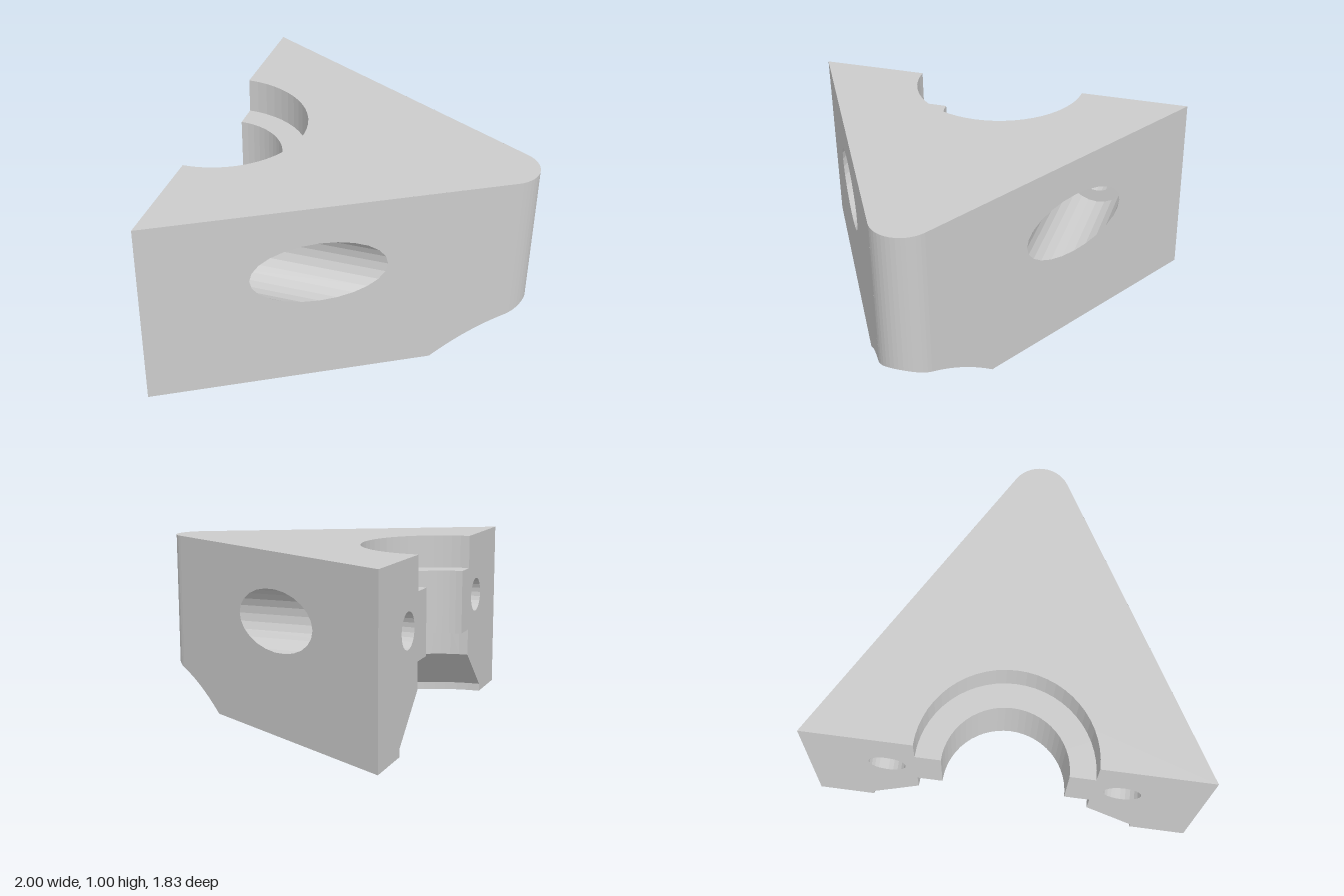
import * as THREE from 'three';

// Local frame: the bored face lies on z = 0, the block's rounded corner points to +z,
// and everything is symmetric about x = 0.
const HALF = 1.057, APEX = 1.83;              // triangular plan
const CORNER_R = 0.16, CORNER_Z = APEX - 2 * CORNER_R;
const HOLE_X = 0.625, HOLE_Y = 0.63, FLOOR_Z = 0.23;
const ARCH_W = 0.333, FLARE_Z = 0.97;         // relief channel
const CONE_TOP = 0.286, RIM_TOP = 0.045, BORE_R = 0.47, RIM_R = 0.744;

const material = new THREE.MeshStandardMaterial({
  color: 0xcccccc, flatShading: true, side: THREE.DoubleSide,
});
const steps = (n, from, to) =>
  Array.from({ length: n + 1 }, (_, i) => from + (to - from) * i / n);
const circle = (cx, cy, rx, ry, n = 24) => steps(n, 0, 2 * Math.PI)
  .map(t => [cx + rx * Math.cos(t), cy + ry * Math.sin(t)]);
const sideZ = x => APEX * (1 - Math.abs(x) / HALF);

// Quad surface through equally long rows of points
function grid(rows) {
  const n = rows[0].length, index = [];
  for (let j = 0; j < rows.length - 1; j++)
    for (let i = 0; i < n - 1; i++) {
      const a = j * n + i, b = a + n;
      index.push(a, a + 1, b, a + 1, b + 1, b);
    }
  const g = new THREE.BufferGeometry();
  g.setAttribute('position', new THREE.Float32BufferAttribute(rows.flat(2), 3));
  g.setIndex(index);
  g.computeVertexNormals();
  return g;
}

// Flat outline with an optional hole, placed in space by place(a, b)
function panel(outline, hole, place) {
  const v = pts => pts.map(p => new THREE.Vector2(...p));
  const shape = new THREE.Shape(v(outline));
  if (hole) shape.holes.push(new THREE.Path(v(hole.slice(0, -1))));
  const g = new THREE.ShapeGeometry(shape), p = g.attributes.position;
  for (let i = 0; i < p.count; i++) p.setXYZ(i, ...place(p.getX(i), p.getY(i)));
  g.computeVertexNormals();
  return g;
}

// Channel: parabolic arch, widening towards the bore
const flare = z => Math.max(0, FLARE_Z - z);
const archPoint = (p, z) =>
  [p * (ARCH_W + 0.28 * flare(z)), (0.25 + 0.07 * flare(z)) * (1 - p * p), z];
const archY = x => Math.max(0, 0.25 * (1 - (x / ARCH_W) ** 2));
const coneR = y => y < RIM_TOP ? RIM_R
  : Math.max(BORE_R, RIM_R + (BORE_R - RIM_R) * (y - RIM_TOP) / (CONE_TOP - RIM_TOP));

// Where the arch line p meets the conical flare of the bore
function archInner(p) {
  let lo = 0.3, hi = FLARE_Z;
  for (let i = 0; i < 40; i++) {
    const mid = (lo + hi) / 2, [x, y, z] = archPoint(p, mid);
    if (Math.hypot(x, z) > coneR(y)) hi = mid; else lo = mid;
  }
  return archPoint(p, hi);
}
// Outer outline of the plan at x, rounded at the corner
const outerZ = x => Math.abs(x) < CORNER_R * Math.cos(Math.PI / 6)
  ? CORNER_Z + Math.sqrt(CORNER_R ** 2 - x * x) : sideZ(x);

export function createModel() {
  const block = new THREE.Group();
  block.name = 'cornerBlock';
  const add = (name, geometry) => {
    const mesh = new THREE.Mesh(geometry, material);
    mesh.name = name;
    block.add(mesh);
  };

  // Top face with the half-round bore opening
  const cornerArc = steps(14, -Math.PI / 3, Math.PI / 3)
    .map(t => [CORNER_R * Math.sin(t), CORNER_Z + CORNER_R * Math.cos(t)]);
  const boreArc = steps(28, Math.PI / 2, -Math.PI / 2)
    .map(t => [BORE_R * Math.sin(t), BORE_R * Math.cos(t)]);
  add('topFace', panel([[-HALF, 0], ...cornerArc, [HALF, 0], ...boreArc], null,
    (x, z) => [x, 1, z]));

  // Rounded corner, ending on the channel arch
  add('roundedCorner', grid([
    cornerArc.map(([x, z]) => [x, archY(x), z]),
    cornerArc.map(([x, z]) => [x, 1, z]),
  ]));

  // Stepped half bore
  const profile = [[BORE_R, 1], [BORE_R, 0.81], [0.333, 0.81], [0.333, 0.44],
    [BORE_R, 0.44], [BORE_R, CONE_TOP]];
  add('steppedBore', new THREE.LatheGeometry(
    profile.map(p => new THREE.Vector2(...p)), 28, -Math.PI / 2, Math.PI));

  // Channel ceiling from the corner to the bore
  const ps = steps(24, -1, 1), inner = ps.map(archInner);
  add('channel', grid([
    ps.map(p => archPoint(p, outerZ(p * ARCH_W))),
    ps.map(p => archPoint(p, FLARE_Z)),
    inner,
  ]));

  // Conical flare and rim below the bore, cut open by the channel
  const mouth = inner.map(([x, y, z]) => [Math.atan2(x, z), y]);
  const edge = mouth[mouth.length - 1][0];
  const flank = steps(10, edge, Math.PI / 2);
  const cut = [...flank.map(t => [-t, 0]).reverse(), ...mouth, ...flank.map(t => [t, 0])];
  const ring = level => cut.map(([t, low]) => {
    const y = Math.max(low, level), r = coneR(y);
    return [r * Math.sin(t), y, r * Math.cos(t)];
  });
  const rimFoot = cut.map(([t, low]) => {
    const r = coneR(low);
    return [r * Math.sin(t), low, r * Math.cos(t)];
  });
  const rimTop = ring(RIM_TOP);
  add('boreFlare', grid([rimTop, ring(CONE_TOP)]));
  add('boreRim', grid([rimFoot, rimTop]));

  for (const s of [1, -1]) {
    const side = s > 0 ? 'Right' : 'Left';

    // Half of the bored face, following the bore profile
    add('boredFace' + side, panel(
      [[HALF, 0], [HALF, 1], ...profile, [RIM_R, RIM_TOP], [RIM_R, 0]],
      circle(HOLE_X, HOLE_Y, 0.1, 0.1), (x, y) => [s * x, y, 0]));

    // Slanted side with the counterbore opening and channel arch
    const arch = steps(16, CORNER_R * Math.cos(Math.PI / 6), ARCH_W)
      .map(x => [x, archY(x)]);
    add('sideFace' + side, panel(
      [[HALF, 0], [HALF, 1], [arch[0][0], 1], ...arch],
      circle(HOLE_X, HOLE_Y, 0.17, 0.17), (x, y) => [s * x, y, sideZ(x)]));

    // Underside
    const foot = inner[inner.length - 1];
    add('underside' + side, panel(
      [[HALF, 0], [ARCH_W, sideZ(ARCH_W)], [ARCH_W, FLARE_Z], [foot[0], foot[2]],
        ...flank.slice(1).map(t => [RIM_R * Math.sin(t), RIM_R * Math.cos(t)])],
      null, (x, z) => [s * x, 0, z]));

    // Screw hole, its shoulder and the counterbore up to the slanted side
    const loop = (r, depth) => circle(HOLE_X, HOLE_Y, r, r)
      .map(([x, y]) => [s * x, y, depth(x)]);
    const floor = () => FLOOR_Z;
    add('screwHole' + side, grid([loop(0.1, () => 0), loop(0.1, floor)]));
    add('screwShoulder' + side, grid([loop(0.1, floor), loop(0.17, floor)]));
    add('counterbore' + side, grid([loop(0.17, floor), loop(0.17, sideZ)]));
  }

  block.rotation.y = Math.PI / 3;
  block.position.x = -0.47;
  const model = new THREE.Group();
  model.name = 'bearingCornerBlock';
  model.add(block);
  return model;
}
